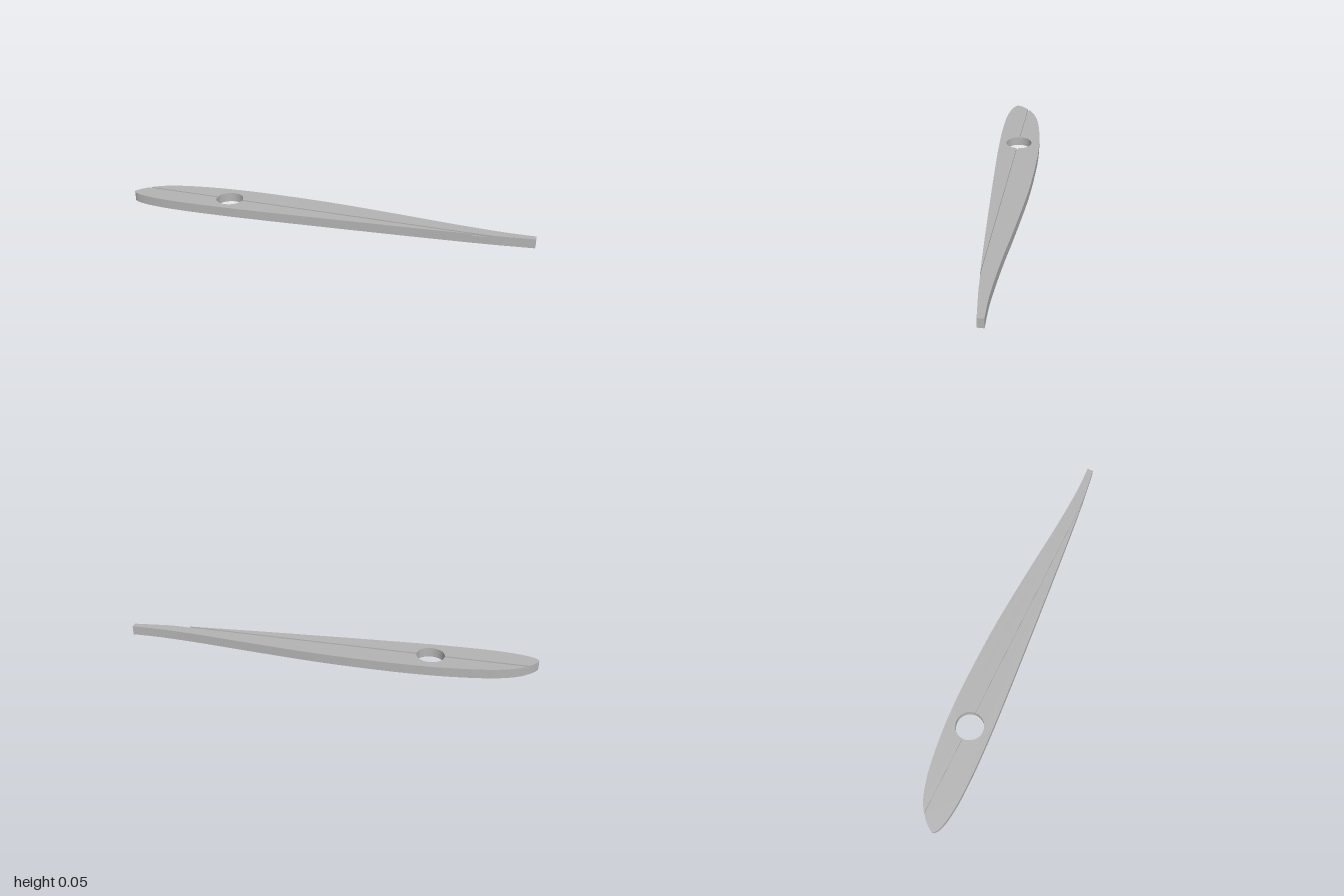
import * as THREE from 'three';

const HEIGHT = 0.046, FLOOR = 0.037;          // rib thickness, slot floor level
const SLOT_BACK = 0.003, SLOT_FRONT = -0.007; // slot edges in plan (v = -z)
const HOLE = { x: -0.5, v: -0.002, r: 0.067 };

// Aerofoil outline in plan, from lower trailing edge round the nose to upper trailing edge
const PROFILE = [
  [1, 0.028], [0.8, 0.002], [0.57, -0.021], [0.3, -0.045], [0, -0.07], [-0.25, -0.09],
  [-0.5, -0.107], [-0.72, -0.115], [-0.85, -0.112], [-0.94, -0.1], [-0.985, -0.084],
  [-1, -0.068], [-0.99, -0.045], [-0.953, -0.005], [-0.9, 0.031], [-0.8, 0.066],
  [-0.6, 0.099], [-0.4, 0.113], [-0.25, 0.115], [0, 0.111], [0.35, 0.088],
  [0.62, 0.066], [0.83, 0.055], [0.92, 0.055], [1, 0.058],
];

// Keep the part of the outline on one side of a slot edge; returns the points from cut to cut
function cutOutline(outline, level, side) {
  const out = [], cuts = [];
  outline.forEach((a, i) => {
    const b = outline[(i + 1) % outline.length];
    const da = (a.y - level) * side, db = (b.y - level) * side;
    if (da >= 0) out.push(a);
    if (da * db < 0) {
      const p = a.clone().lerp(b, da / (da - db));
      out.push(p);
      cuts.push(p);
    }
  });
  cuts.sort((a, b) => a.x - b.x);
  // Rotate the loop so the straight cut edge joins its last and first points
  const n = out.length;
  const start = out.findIndex((p, i) => cuts.includes(p) && cuts.includes(out[(i + n - 1) % n]));
  return { points: [...out.slice(start), ...out.slice(0, start)], cuts };
}

// Arc of the hole on one side of a slot edge, from left to right
function holeArc(level, side) {
  const start = Math.asin((level - HOLE.v) / HOLE.r);
  const from = Math.PI - start, to = side > 0 ? start : 2 * Math.PI + start;
  return Array.from({ length: 33 }, (_, i) => {
    const a = from + (to - from) * i / 32;
    return new THREE.Vector2(HOLE.x + HOLE.r * Math.cos(a), HOLE.v + HOLE.r * Math.sin(a));
  });
}

export function createModel() {
  const group = new THREE.Group();
  group.name = 'wingRib';
  const grey = new THREE.MeshStandardMaterial({ color: 0xb4b4b4 });
  grey.name = 'plain grey';

  const addPart = (name, points, height) => {
    const geo = new THREE.ExtrudeGeometry(new THREE.Shape(points), { depth: height, bevelEnabled: false });
    geo.rotateX(-Math.PI / 2);
    const mesh = new THREE.Mesh(geo, grey);
    mesh.name = name;
    group.add(mesh);
  };

  const curve = new THREE.CatmullRomCurve3(PROFILE.map(([x, v]) => new THREE.Vector3(x, v, 0)));
  const outline = curve.getPoints(144).map((p) => new THREE.Vector2(p.x, p.y));

  // Full-height halves either side of the slot, each with its share of the hole
  const half = (name, level, side) => {
    const { points, cuts } = cutOutline(outline, level, side);
    const arc = holeArc(level, side);
    const endsLeft = points[points.length - 1] === cuts[0];
    addPart(name, [...points, ...(endsLeft ? arc : arc.slice().reverse())], HEIGHT);
    return { cuts, arc };
  };
  const back = half('backHalf', SLOT_BACK, 1);
  const front = half('frontHalf', SLOT_FRONT, -1);

  // Lower slot floor, interrupted by the hole
  addPart('noseSlotFloor', [back.cuts[0], front.cuts[0], front.arc[0], back.arc[0]], FLOOR);
  addPart('tailSlotFloor', [back.arc[32], front.arc[32], front.cuts[1], back.cuts[1]], FLOOR);
  return group;
}
